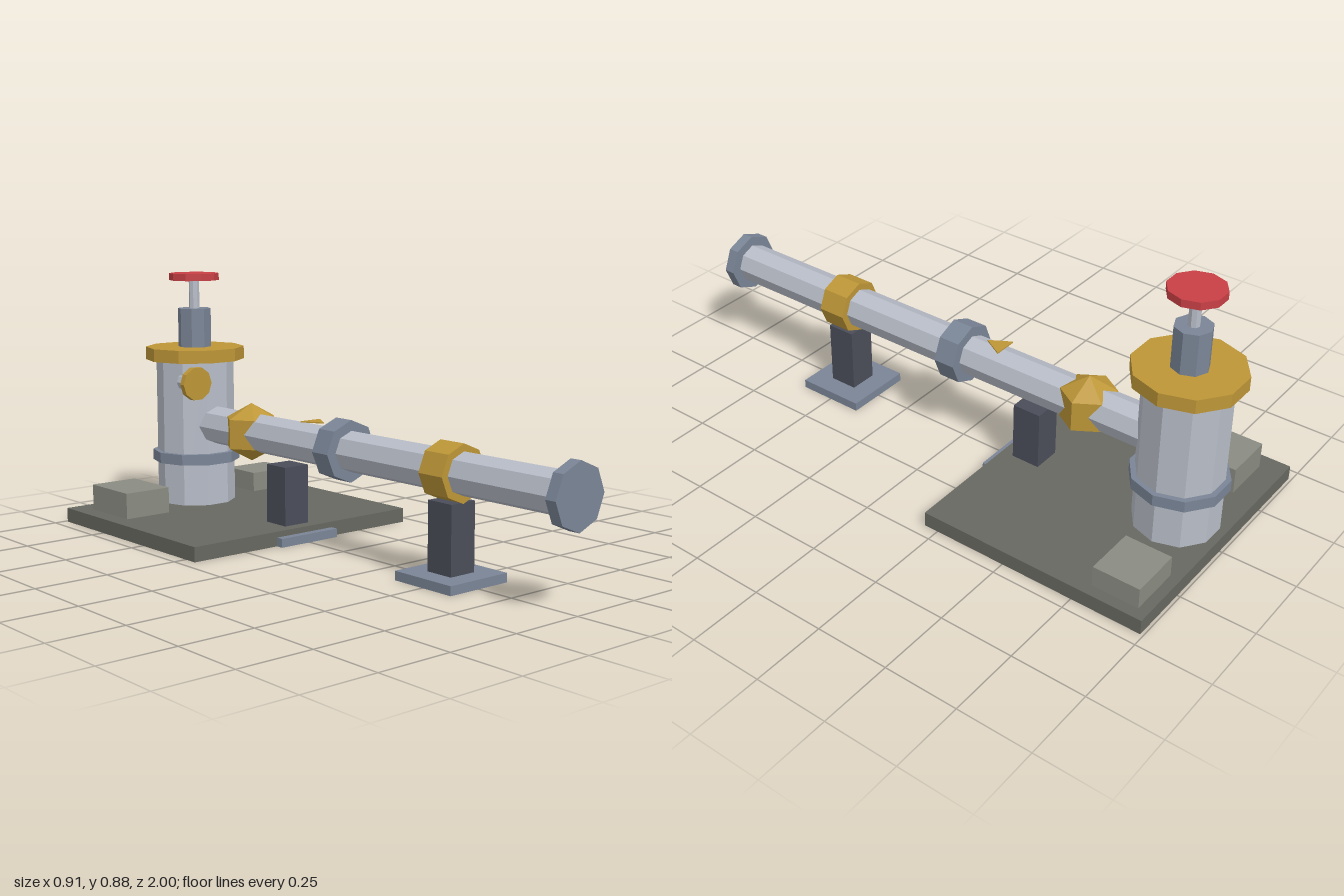
import * as THREE from 'three';

const mat = (name, color) => {
  const m = new THREE.MeshStandardMaterial({ color });
  m.name = name;
  m.flatShading = true;
  return m;
};

export function createModel() {
  const steel = mat('light steel', 0xb8bdc8);
  const slate = mat('slate flange', 0x7a8596);
  const dark = mat('dark post', 0x4a4d59);
  const brass = mat('brass yellow', 0xbd9637);
  const red = mat('red wheel', 0xc94046);
  const slab = mat('base grey', 0x676860);
  const concrete = mat('block grey', 0x8a8c82);

  const root = new THREE.Group();
  const add = (name, geometry, material, x = 0, y = 0, z = 0) => {
    const m = new THREE.Mesh(geometry, material);
    m.name = name;
    m.position.set(x, y, z);
    root.add(m);
    return m;
  };
  // box given by its extents
  const box = (name, material, x0, x1, y0, y1, z0, z1) =>
    add(name, new THREE.BoxGeometry(x1 - x0, y1 - y0, z1 - z0), material,
      (x0 + x1) / 2, (y0 + y1) / 2, (z0 + z1) / 2);
  // prism with its lowest vertex angle in degrees
  const prism = (r, len, sides, turn) =>
    new THREE.CylinderGeometry(r, r, len, sides, 1, false, turn * Math.PI / 180);

  // base slab and loose blocks
  box('base', slab, -0.455, 0.455, 0, 0.05, -0.99, -0.2);
  box('rightBlock', concrete, -0.395, -0.22, 0.05, 0.14, -0.91, -0.69);
  box('leftBlock', concrete, 0.237, 0.415, 0.05, 0.12, -0.955, -0.795);

  // upright vessel, stacked on one axis
  const column = (name, material, r, y0, y1, sides, turn) =>
    add(name, prism(r, y1 - y0, sides, turn), material, 0, (y0 + y1) / 2, -0.83);
  column('tank', steel, 0.14, 0.05, 0.57, 10, 18);
  column('tankRing', slate, 0.158, 0.2, 0.238, 10, 18);
  column('tankLid', brass, 0.178, 0.57, 0.616, 10, 18);
  column('bonnet', slate, 0.06, 0.616, 0.755, 8, 0);
  column('stem', steel, 0.019, 0.755, 0.858, 8, 0);
  column('handwheel', red, 0.09, 0.857, 0.882, 10, 18);

  // horizontal pipe and its fittings along z
  const along = (name, material, r, z0, z1, sides = 8, turn = 0, x = 0, y = 0.34) => {
    const g = prism(r, z1 - z0, sides, turn);
    g.rotateX(Math.PI / 2);
    return add(name, g, material, x, y, (z0 + z1) / 2);
  };
  along('pipe', steel, 0.068, -0.75, 0.97);
  along('endFlange', slate, 0.103, 0.962, 1.0);
  along('middleFlange', slate, 0.103, -0.036, 0.04);
  along('clamp', brass, 0.092, 0.45, 0.55);

  // faceted valve body
  const valve = add('valveBody', new THREE.SphereGeometry(0.102, 6, 3), brass, 0, 0.34, -0.492);
  valve.scale.x = 1.08;

  // pressure gauge on the tank
  along('gaugeStem', steel, 0.03, -0.76, -0.69, 8, 0, -0.1, 0.5);
  along('gauge', brass, 0.06, -0.695, -0.673, 10, 18, -0.1, 0.5);

  // pipe supports
  for (const [name, z] of [['front', 0.5], ['rear', -0.293]]) {
    box(name + 'Foot', slate, -0.12, 0.12, 0, 0.03, z - 0.12, z + 0.12);
    box(name + 'Post', dark, -0.05, 0.05, 0.03, 0.252, z - 0.05, z + 0.05);
  }

  // flow arrow plate above the pipe, pointing forward
  const tri = new THREE.Shape([
    new THREE.Vector2(-0.042, 0.17),
    new THREE.Vector2(0, 0.098),
    new THREE.Vector2(0.042, 0.17),
  ]);
  const arrow = new THREE.ExtrudeGeometry(tri, { depth: 0.004, bevelEnabled: false });
  arrow.rotateX(-Math.PI / 2);
  add('flowArrow', arrow, brass, 0, 0.415, 0);

  return root;
}
